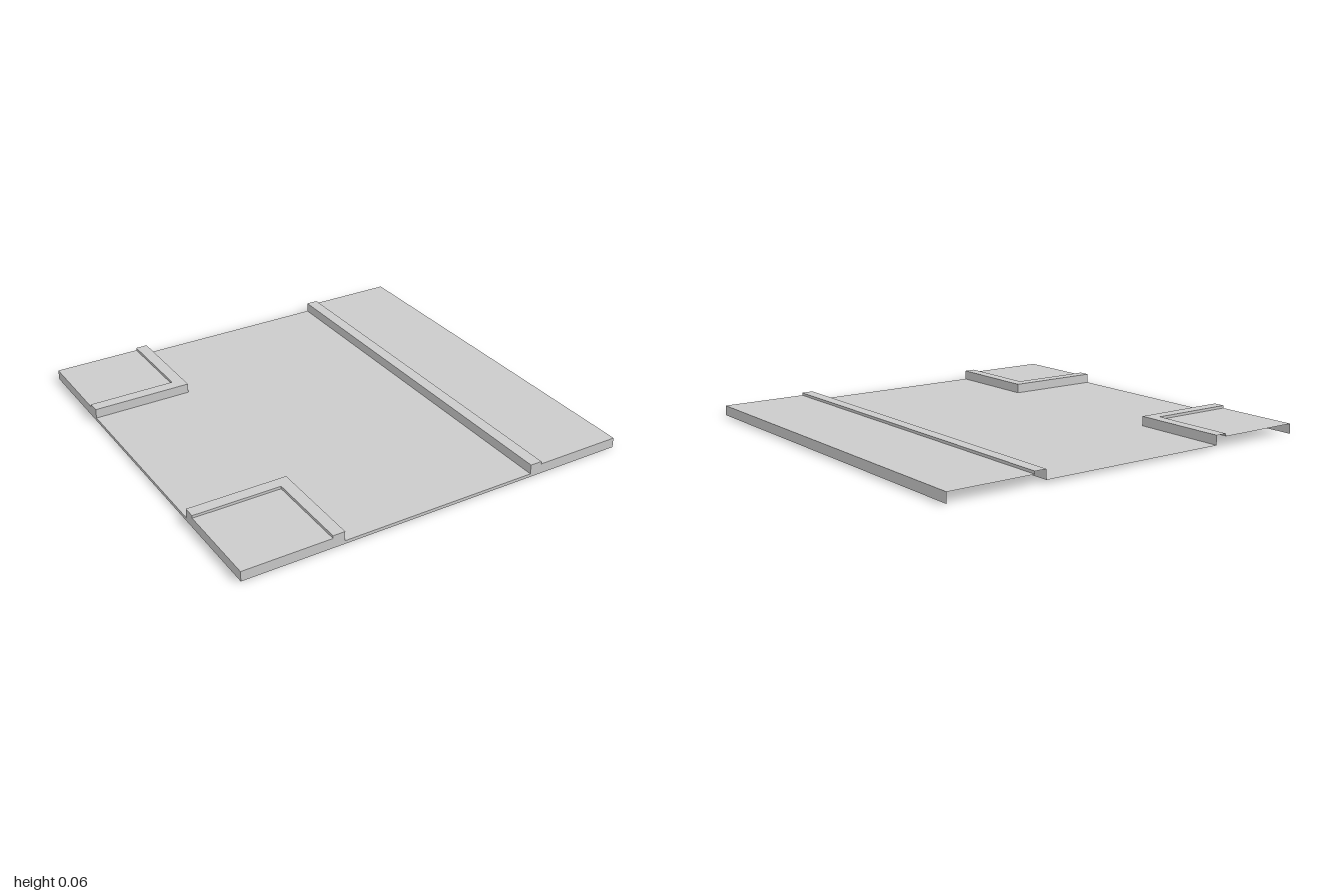
import * as THREE from 'three';

const ROAD = 0.016, WALK = 0.05, CURB = 0.0635;
const IN = 0.5, OUT = 0.56; // kerb width, measured from the centre line

const material = new THREE.MeshStandardMaterial({
  color: 0xcccccc, side: THREE.DoubleSide, flatShading: true,
});

function mesh(name, geometry) {
  const m = new THREE.Mesh(geometry, material);
  m.name = name;
  return m;
}

// Sheet made of four-cornered faces
function sheet(name, quads) {
  const pos = [];
  for (const [a, b, c, d] of quads) pos.push(...a, ...b, ...c, ...a, ...c, ...d);
  const g = new THREE.BufferGeometry();
  g.setAttribute('position', new THREE.Float32BufferAttribute(pos, 3));
  g.computeVertexNormals();
  return mesh(name, g);
}

// Stepped section from road up over the kerb: [distance from centre, height]
const kerbSteps = [[IN, ROAD], [IN, CURB], [OUT, CURB], [OUT, WALK]];
const pavementSteps = [[OUT, WALK], [1, WALK]];

// Sweeps a section straight along z on the +x side
function straight(name, steps) {
  const quads = [];
  for (let i = 0; i + 1 < steps.length; i++) {
    const [d, h] = steps[i], [e, k] = steps[i + 1];
    quads.push([[d, h, -1], [d, h, 1], [e, k, 1], [e, k, -1]]);
  }
  return sheet(name, quads);
}

// Sweeps a section around an L-shaped corner on the -x side; s picks front or back
function corner(name, steps, s) {
  const path = ([d, h]) => [[-1, h, s * d], [-d, h, s * d], [-d, h, s]];
  const quads = [];
  for (let i = 0; i + 1 < steps.length; i++) {
    const p = path(steps[i]), q = path(steps[i + 1]);
    for (let j = 0; j < 2; j++) {
      const quad = [p[j], q[j], q[j + 1], p[j + 1]];
      quads.push(s > 0 ? quad : quad.reverse());
    }
  }
  return sheet(name, quads);
}

// End wall following the tile's stepped outline
function endWall(name) {
  const half = [...kerbSteps, [1, WALK], [1, 0]];
  const left = half.map(([d, h]) => new THREE.Vector2(-d, h)).reverse();
  const right = half.map(([d, h]) => new THREE.Vector2(d, h));
  const wall = mesh(name, new THREE.ShapeGeometry(new THREE.Shape([...left, ...right])));
  return wall;
}

export function createModel() {
  const model = new THREE.Group();
  model.name = 'roadJunctionTile';

  // Road surface: through road and side branch
  model.add(sheet('road', [
    [[-IN, ROAD, 1], [IN, ROAD, 1], [IN, ROAD, -1], [-IN, ROAD, -1]],
    [[-1, ROAD, IN], [-IN, ROAD, IN], [-IN, ROAD, -IN], [-1, ROAD, -IN]],
  ]));

  // Long pavement opposite the branch
  model.add(straight('longKerb', kerbSteps), straight('longPavement', pavementSteps));

  // Corner pavements either side of the branch
  for (const [label, s] of [['front', 1], ['back', -1]]) {
    model.add(corner(label + 'CornerKerb', kerbSteps, s));
    model.add(corner(label + 'CornerPavement', pavementSteps, s));
  }

  // Outer walls; the back and the underside stay open
  const frontWall = endWall('frontWall');
  frontWall.position.z = 1;
  const branchWall = endWall('branchWall');
  branchWall.rotation.y = -Math.PI / 2;
  branchWall.position.x = -1;
  const sideWall = sheet('sideWall', [[[1, 0, 1], [1, 0, -1], [1, WALK, -1], [1, WALK, 1]]]);
  model.add(frontWall, branchWall, sideWall);

  return model;
}
